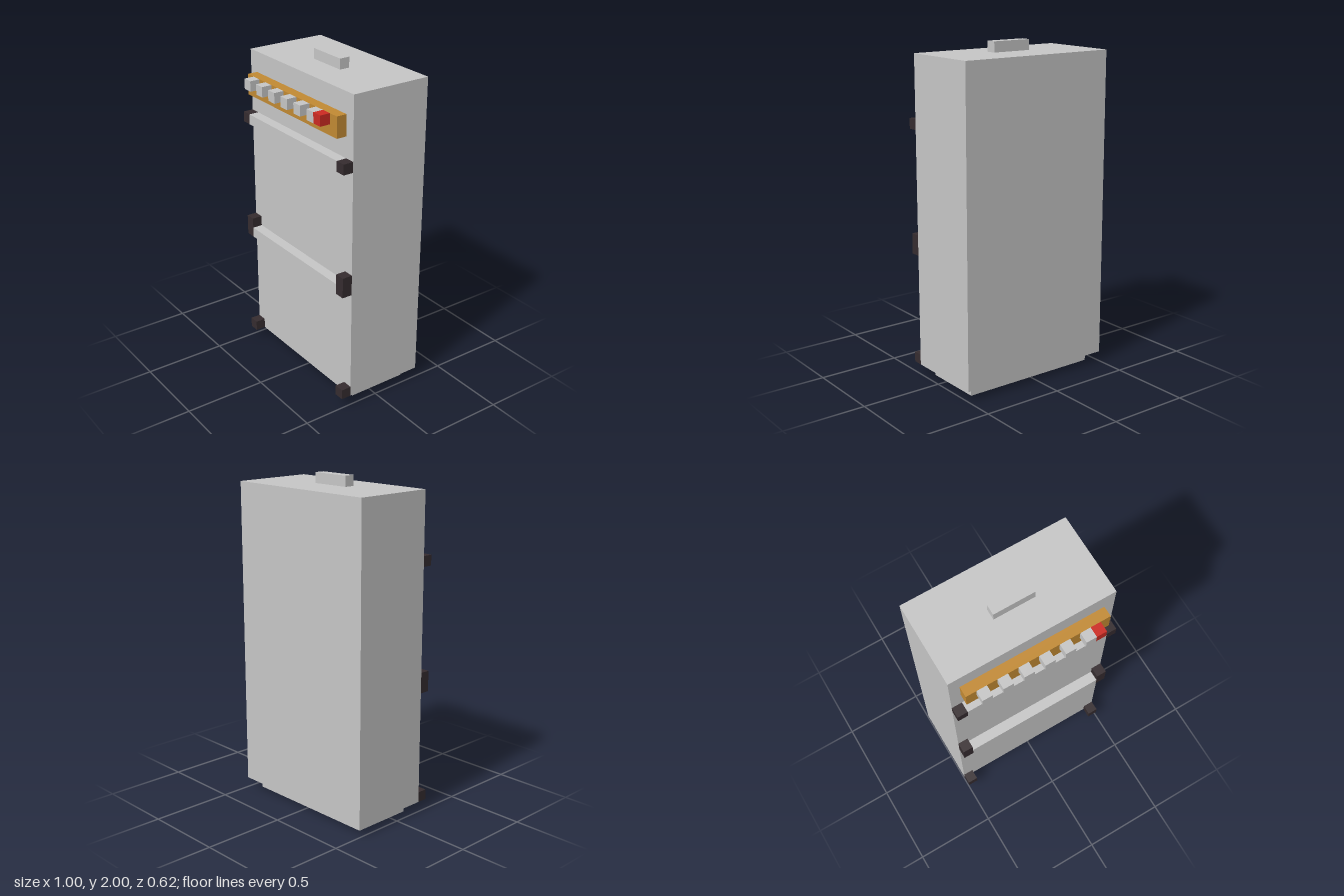
import * as THREE from 'three';

const U = 1 / 16; // everything sits on a 1/16 grid

export function createModel() {
  const model = new THREE.Group();
  model.name = 'cabinet';

  const grey = new THREE.MeshStandardMaterial({ color: 0xc6c6c6, side: THREE.DoubleSide });
  const ochre = new THREE.MeshStandardMaterial({ color: 0xc28a33 });
  const dark = new THREE.MeshStandardMaterial({ color: 0x352c2f });
  const red = new THREE.MeshStandardMaterial({ color: 0xcc2b22 });
  grey.name = 'lightGrey';
  ochre.name = 'ochre';
  dark.name = 'charcoal';
  red.name = 'red';

  // Box between two corners in grid units; openFaces lists sides left out
  // (0 +x, 1 -x, 2 +y, 3 -y, 4 +z, 5 -z).
  function box(name, material, [x0, y0, z0], [x1, y1, z1], openFaces = []) {
    const geometry = new THREE.BoxGeometry((x1 - x0) * U, (y1 - y0) * U, (z1 - z0) * U);
    if (openFaces.length) {
      const index = Array.from(geometry.index.array);
      geometry.setIndex(index.filter((_, i) => !openFaces.includes(Math.floor(i / 6))));
      geometry.clearGroups();
    }
    geometry.translate((x0 + x1) / 2 * U, (y0 + y1) / 2 * U, (z0 + z1) / 2 * U);
    const mesh = new THREE.Mesh(geometry, material);
    mesh.name = name;
    model.add(mesh);
    return mesh;
  }

  // Hollow body and plinth, open underneath
  box('body', grey, [-8, 1, -5], [8, 31, 3], [3]);
  box('plinth', grey, [-7, 0, -4], [7, 1, 2], [2, 3]);

  // Underside rim joining the body to the plinth
  const rectangle = (Type, x, z0, z1) => new Type([
    new THREE.Vector2(-x * U, z0 * U), new THREE.Vector2(x * U, z0 * U),
    new THREE.Vector2(x * U, z1 * U), new THREE.Vector2(-x * U, z1 * U),
  ]);
  const rim = rectangle(THREE.Shape, 8, -5, 3);
  rim.holes.push(rectangle(THREE.Path, 7, -4, 2));
  const underside = new THREE.Mesh(new THREE.ShapeGeometry(rim).rotateX(Math.PI / 2), grey);
  underside.name = 'undersideRim';
  underside.position.y = U;
  model.add(underside);

  // Top handle
  box('topHandle', grey, [-2, 31, -1], [2, 32, 0]);

  // Control panel with six knobs and a red button
  box('controlPanel', ochre, [-7, 27, 3], [7, 29, 4]);
  for (let i = 0; i < 6; i++) {
    const x = -6 + 2 * i;
    box('knob', grey, [x, 28, 4], [x + 1, 29, 5]);
  }
  box('redButton', red, [5, 28, 4], [6, 29, 5]);

  // Door handles
  for (const y of [12, 24]) box('doorHandle', grey, [-7, y, 3], [7, y + 1, 4]);

  // Dark corner brackets on both sides
  for (const x of [-8, 7]) {
    box('lowerBracket', dark, [x, 1, 3], [x + 1, 2, 4]);
    box('middleBracket', dark, [x, 12, 3], [x + 1, 14, 4]);
    box('upperBracket', dark, [x, 24, 3], [x + 1, 25, 4]);
  }

  return model;
}
